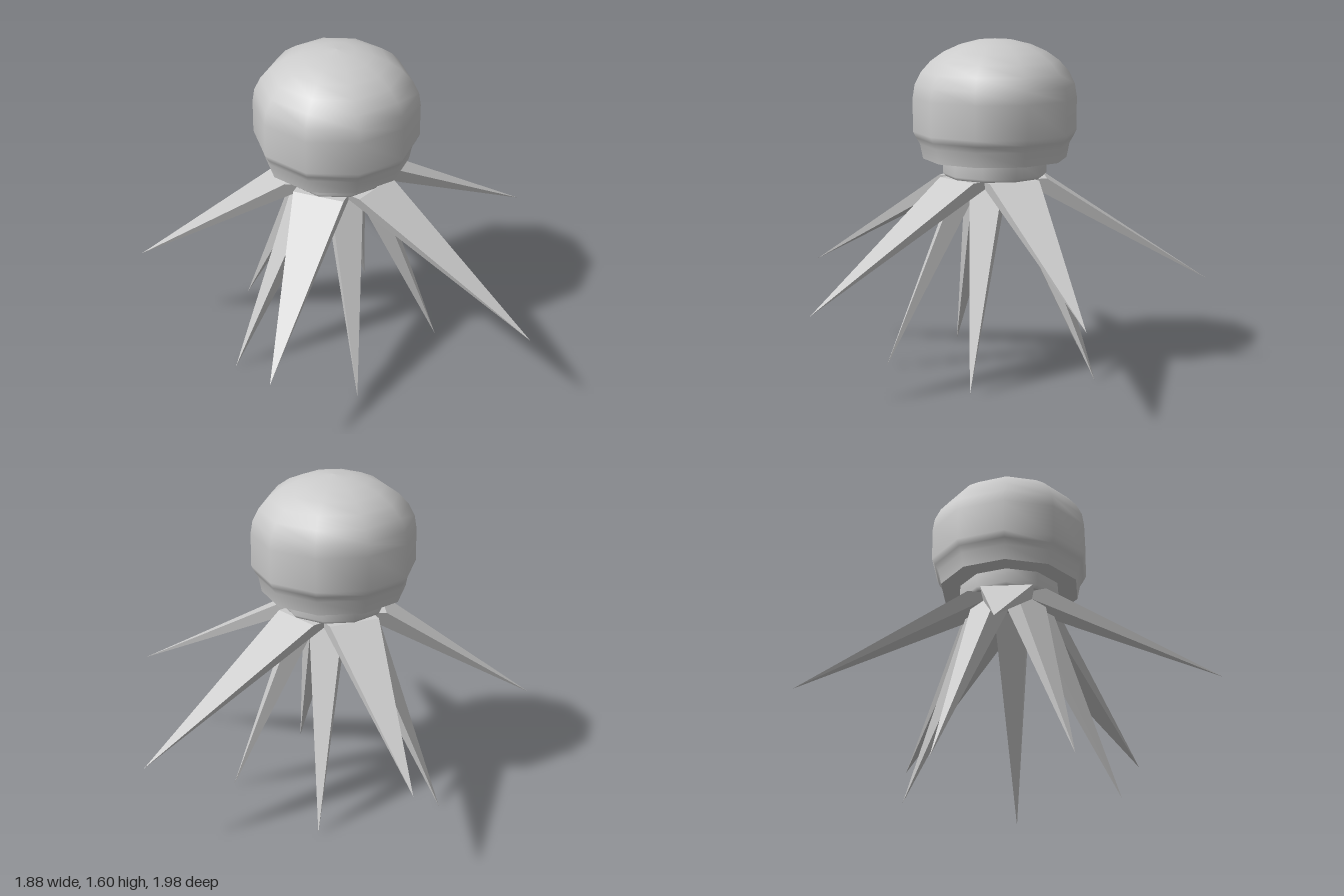
import * as THREE from 'three';

const material = new THREE.MeshStandardMaterial({ color: 0xcccccc });
const BODY_X = 0.02; // the body sits slightly off centre
const BASE_Y = 0.945; // where the tentacles meet the collar

// ten-sided ring shape from [radius, y] pairs, listed bottom to top outside
function lathe(name, profile) {
  const points = profile.map(([r, y]) => new THREE.Vector2(r, y));
  const mesh = new THREE.Mesh(new THREE.LatheGeometry(points, 10, Math.PI / 2), material);
  mesh.position.x = BODY_X;
  mesh.name = name;
  return mesh;
}

// four-sided spike hanging from the collar, its point pulled to a given tip
function tentacle(name, angle, { base, thick, wide, reach, centre, tipY }) {
  const c = Math.cos(angle), s = Math.sin(angle);
  const tip = new THREE.Vector3(centre + reach * c, tipY, reach * s);
  const geometry = new THREE.ConeGeometry(Math.SQRT2, 1, 4).rotateY(Math.PI / 4).toNonIndexed();
  const pos = geometry.attributes.position;
  const p = new THREE.Vector3();
  for (let i = 0; i < pos.count; i++) {
    const t = pos.getY(i) + 0.5;
    const radial = base + pos.getX(i) * thick;
    const side = -pos.getZ(i) * wide;
    p.set(BODY_X + radial * c - side * s, BASE_Y, radial * s + side * c);
    if (t > 0.5) p.copy(tip);
    pos.setXYZ(i, p.x, p.y, p.z);
  }
  geometry.computeVertexNormals();
  const mesh = new THREE.Mesh(geometry, material);
  mesh.name = name;
  return mesh;
}

export function createModel() {
  const model = new THREE.Group();
  model.name = 'tentacledCreature';

  // domed head with a pinched rim
  const dome = [[0.343, 1.03], [0.357, 1.1], [0.375, 1.13], [0.39, 1.16], [0.39, 1.32]];
  for (let i = 1; i <= 7; i++) {
    const a = (i / 7) * Math.PI / 2;
    dome.push([i === 7 ? 0 : 0.39 * Math.cos(a), 1.32 + 0.277 * Math.sin(a)]);
  }
  model.add(lathe('head', dome));
  model.add(lathe('headUnderside', [[0.2, 1.03], [0.343, 1.03]]));

  // collar under the head
  model.add(lathe('collar', [[0.235, 0.945], [0.2475, 0.96], [0.2475, 1.035]]));
  model.add(lathe('collarBottom', [[0, 0.945], [0.235, 0.945]]));

  // five wide outer tentacles and five steep inner ones between them
  const outer = { base: 0.165, thick: 0.072, wide: 0.125, reach: 1.042, centre: 0.097, tipY: 0.44 };
  const inner = { base: 0.12, thick: 0.058, wide: 0.082, reach: 0.541, centre: -0.02, tipY: 0 };
  for (let i = 0; i < 5; i++) {
    const a = (i * 2 * Math.PI) / 5;
    model.add(tentacle('outerTentacle', a + Math.PI / 5, outer));
    model.add(tentacle('innerTentacle', a, inner));
  }
  return model;
}
